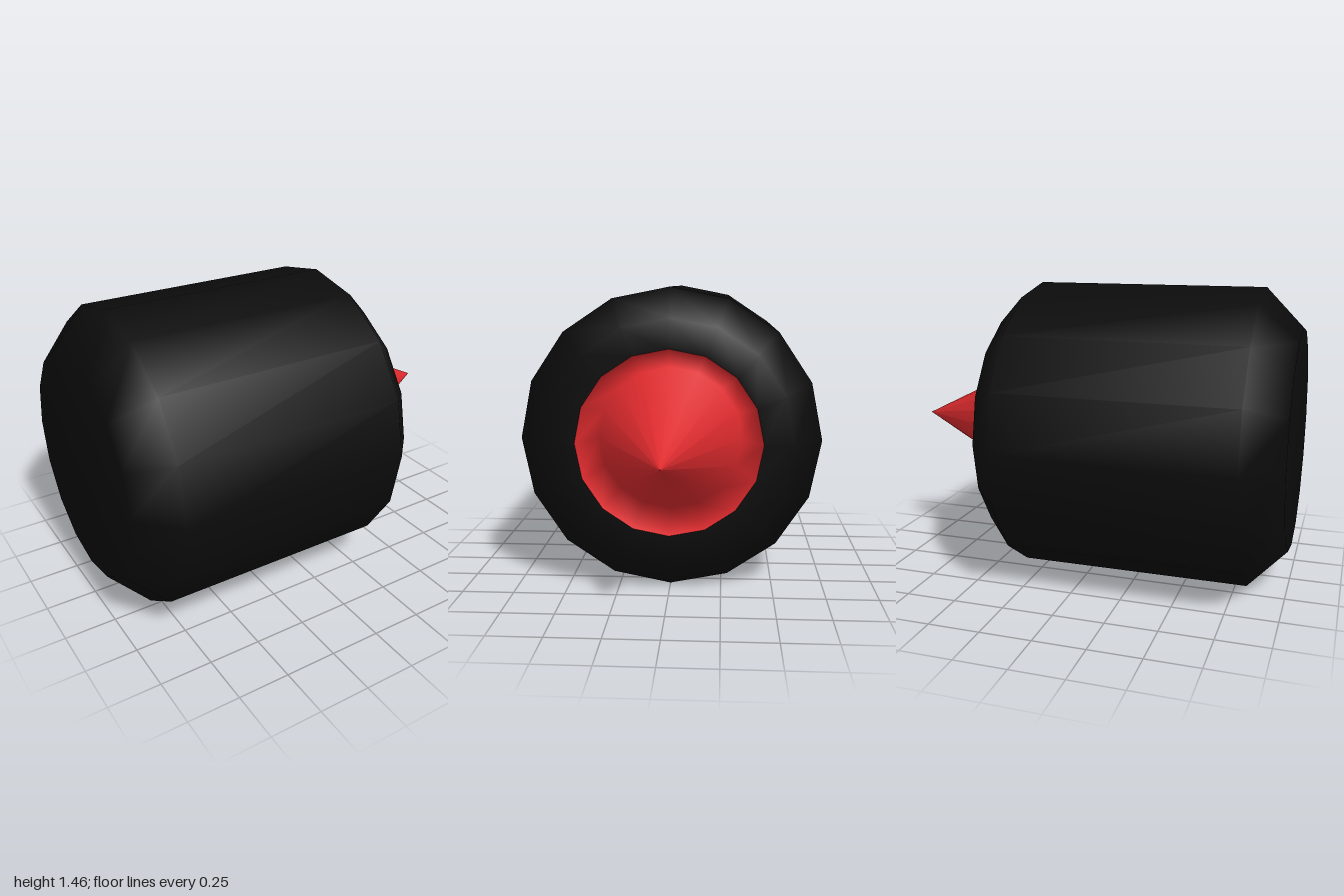
import * as THREE from 'three';

const SIDES = 16;
const AXIS_HEIGHT = 0.73;

// Turn a [radius, x] profile around the horizontal x axis
function turned(name, profile, color) {
  const points = profile.map(([r, x]) => new THREE.Vector2(r, x));
  const geometry = new THREE.LatheGeometry(points, SIDES);
  geometry.rotateZ(-Math.PI / 2);
  const mesh = new THREE.Mesh(geometry, new THREE.MeshStandardMaterial({ color }));
  mesh.name = name;
  mesh.position.y = AXIS_HEIGHT;
  return mesh;
}

export function createModel() {
  const group = new THREE.Group();
  group.name = 'coneTippedBarrel';

  // Black barrel: closed back, chamfered ends, flat front rim
  group.add(turned('barrel', [
    [0, -1], [0.545, -1], [0.73, -0.82], [0.73, 0.32], [0.59, 0.455], [0.447, 0.455],
  ], 0x0b0b0b));

  // Red funnel wall sinking into the rim, then the cone rising out of it
  group.add(turned('recessAndCone', [
    [0.447, 0.455], [0.35, 0.3], [0, 1],
  ], 0xdc2a2d));

  return group;
}
